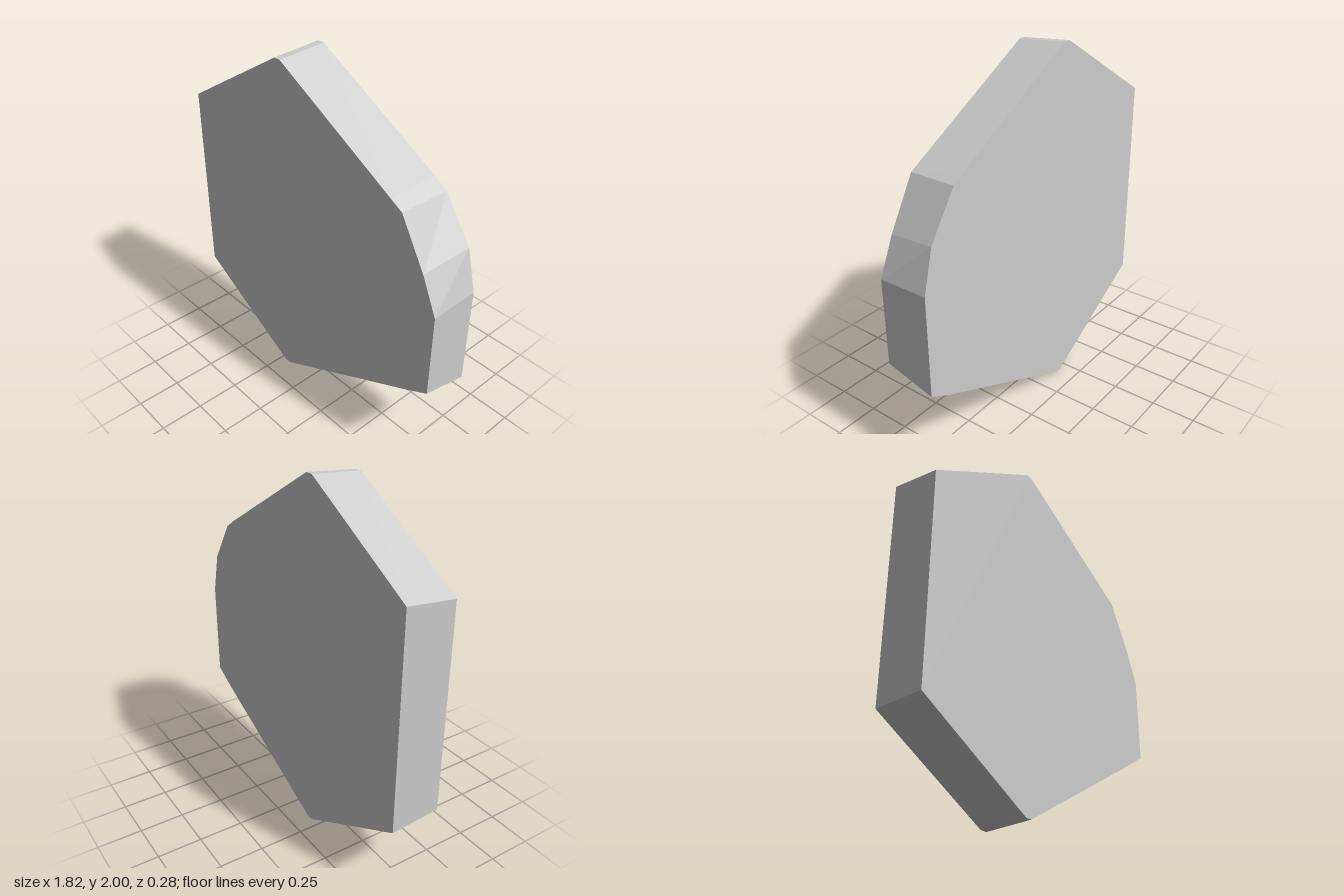
import * as THREE from 'three';

const HALF_DEPTH = 0.14;

// Matching outlines, counter-clockwise seen from +z: [x, front y, back x, back y]
const CORNERS = [
  [-0.91, 0.435, -0.91, 0.415],
  [-0.20, 0.025, -0.20, 0.005],
  [-0.16, 0.025, -0.16, 0.0],
  [0.78, 0.50, 0.78, 0.43],
  [0.91, 0.57, 0.91, 0.50],
  [0.91, 1.05, 0.91, 1.055],
  [0.82, 1.25, 0.85, 1.285],
  [0.67, 1.51, 0.69, 1.52],
  [0.60, 1.55, 0.61, 1.57],
  [-0.16, 1.98, -0.155, 2.0],
  [-0.20, 1.98, -0.20, 2.0],
  [-0.91, 1.57, -0.91, 1.60],
];

// Slab lofted between two convex outlines, closed with fan caps
function loftSlab(front, back) {
  const positions = [];
  const tri = (...points) => points.forEach((p) => positions.push(p.x, p.y, p.z));
  const n = front.length;
  for (let i = 0; i < n; i++) {
    const j = (i + 1) % n;
    tri(front[i], back[i], back[j]);
    tri(front[i], back[j], front[j]);
    if (i > 0 && i < n - 1) {
      tri(front[0], front[i], front[j]);
      tri(back[0], back[j], back[i]);
    }
  }
  const geometry = new THREE.BufferGeometry();
  geometry.setAttribute('position', new THREE.Float32BufferAttribute(positions, 3));
  geometry.computeVertexNormals();
  return geometry;
}

export function createModel() {
  const group = new THREE.Group();
  group.name = 'facetedPlate';

  const front = CORNERS.map(([x, y]) => new THREE.Vector3(x, y, HALF_DEPTH));
  const back = CORNERS.map(([, , x, y]) => new THREE.Vector3(x, y, -HALF_DEPTH));

  // Hexagonal slab with bevelled rim and chipped corner
  const slab = new THREE.Mesh(
    loftSlab(front, back),
    new THREE.MeshStandardMaterial({ color: 0xcccccc, flatShading: true })
  );
  slab.name = 'slab';
  group.add(slab);
  return group;
}
